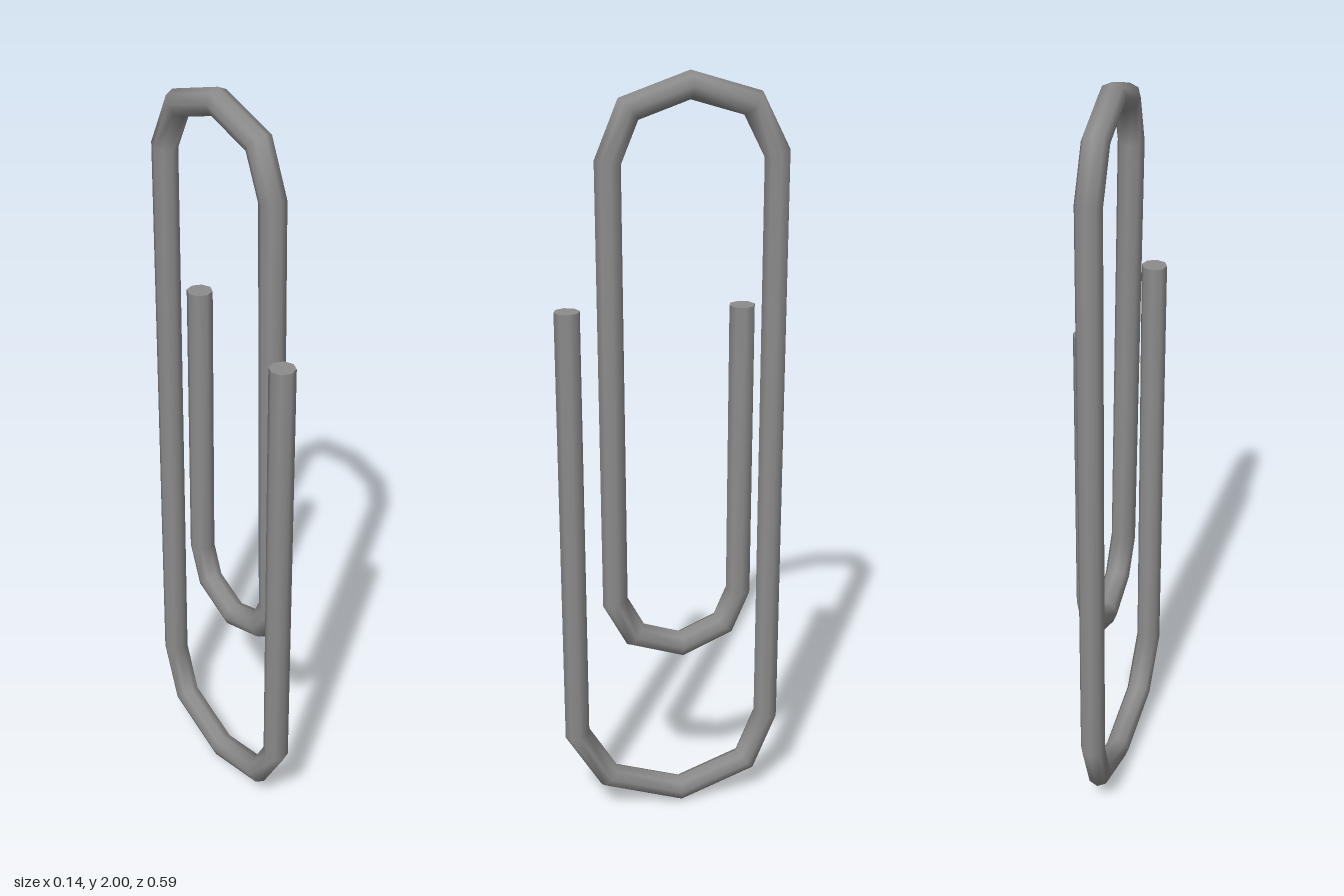
import * as THREE from 'three';

const RADIUS = 0.033, SIDES = 8;

// Centre line of the bent wire, from the outer end to the inner end
const PATH = [
  [-0.038, 1.425, 0.263], [-0.034, 0.24, 0.263], // outer free leg
  [-0.024, 0.1, 0.178], [-0.004, 0.038, -0.018], [0.004, 0.105, -0.203], // bottom bend
  [0.007, 0.245, -0.26], [0.005, 1.793, -0.26], // long back leg
  [0.003, 1.917, -0.197], [0.002, 1.966, -0.04], [0.002, 1.916, 0.113], // top bend
  [0.003, 1.793, 0.165], [0.02, 0.648, 0.165], // long front leg
  [0.025, 0.55, 0.113], [0.031, 0.508, -0.01], [0.035, 0.556, -0.125], // inner bend
  [0.037, 0.65, -0.165], [0.036, 1.43, -0.165], // inner free leg
].map((p) => new THREE.Vector3(...p));

// Sweep an octagon along the path with mitred corners
function wireGeometry(path) {
  const position = [], index = [];
  const last = path.length - 1;
  const xAxis = new THREE.Vector3(1, 0, 0);
  const direction = (i) => path[i + 1].clone().sub(path[i]).normalize();

  const rings = path.map((p, i) => {
    const before = direction(Math.max(i - 1, 0));
    const after = direction(Math.min(i, last - 1));
    const tangent = before.clone().add(after).normalize();
    const normal = tangent.clone().cross(xAxis).normalize();
    const side = normal.clone().cross(tangent);
    const mitre = RADIUS / tangent.dot(after);
    return Array.from({ length: SIDES }, (_, j) => {
      const a = (j / SIDES) * Math.PI * 2;
      return p.clone()
        .addScaledVector(side, RADIUS * Math.cos(a))
        .addScaledVector(normal, mitre * Math.sin(a));
    });
  });

  // Smooth wall
  rings.forEach((ring) => ring.forEach((v) => position.push(v.x, v.y, v.z)));
  for (let i = 0; i < last; i++) {
    for (let j = 0; j < SIDES; j++) {
      const k = (j + 1) % SIDES;
      const a = i * SIDES + j, b = i * SIDES + k;
      index.push(a, b, b + SIDES, a, b + SIDES, a + SIDES);
    }
  }

  // Flat ends with their own vertices
  for (const i of [0, last]) {
    const first = position.length / 3;
    rings[i].forEach((v) => position.push(v.x, v.y, v.z));
    for (let j = 1; j < SIDES - 1; j++) {
      if (i === 0) index.push(first, first + j + 1, first + j);
      else index.push(first, first + j, first + j + 1);
    }
  }

  const geometry = new THREE.BufferGeometry();
  geometry.setAttribute('position', new THREE.Float32BufferAttribute(position, 3));
  geometry.setIndex(index);
  geometry.computeVertexNormals();
  return geometry;
}

export function createModel() {
  const group = new THREE.Group();
  group.name = 'paperClip';
  const steel = new THREE.MeshStandardMaterial({ color: 0x8c8c8c });
  steel.name = 'steel grey';
  const wire = new THREE.Mesh(wireGeometry(PATH), steel);
  wire.name = 'bentWire';
  group.add(wire);
  return group;
}
